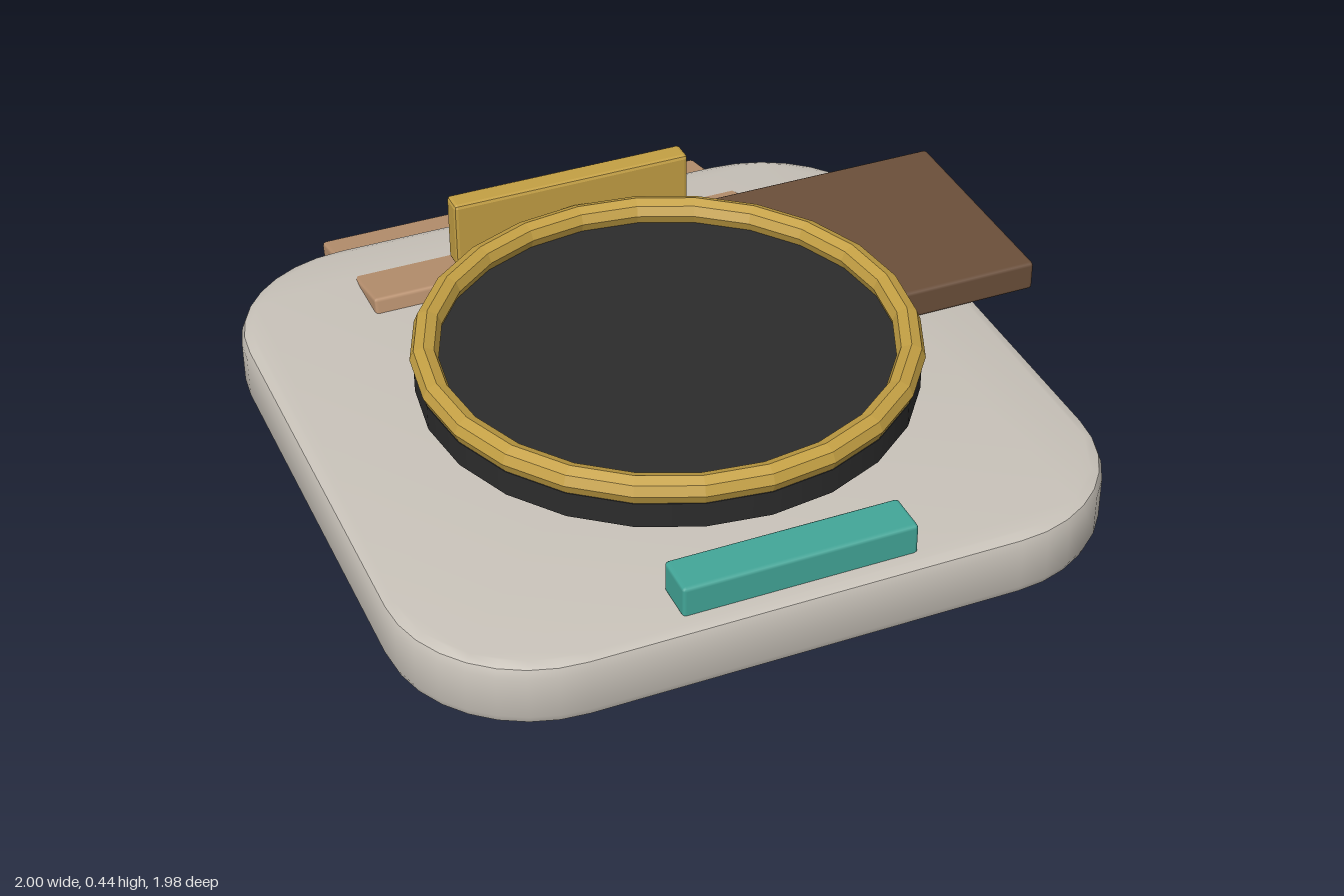
import * as THREE from 'three';
import { toCreasedNormals } from 'three/addons/utils/BufferGeometryUtils.js';
import { RoundedBoxGeometry } from 'three/addons/geometries/RoundedBoxGeometry.js';

function material(name, color, flatShading = false) {
  const m = new THREE.MeshStandardMaterial({ color, flatShading });
  m.name = name;
  return m;
}

export function createModel() {
  const group = new THREE.Group();
  const stone = material('warm grey', 0xc8c2b9);
  const black = material('charcoal', 0x2c2c2c);
  const gold = material('gold', 0xc4a044, true);
  const walnut = material('walnut', 0x6b4f3a);
  const tan = material('tan', 0xba9270);
  const teal = material('teal', 0x43a799);

  const add = (name, geometry, mat, x, y, z) => {
    const mesh = new THREE.Mesh(geometry, mat);
    mesh.name = name;
    mesh.position.set(x, y, z);
    group.add(mesh);
    return mesh;
  };
  // Box with slightly softened edges, given by its minimum and maximum corners
  const block = (name, mat, [x0, y0, z0], [x1, y1, z1]) =>
    add(name, new RoundedBoxGeometry(x1 - x0, y1 - y0, z1 - z0, 1, 0.01), mat,
      (x0 + x1) / 2, (y0 + y1) / 2, (z0 + z1) / 2);

  // Base slab: square with wide round corners and a small bevel
  const h = 0.92, r = 0.37, bevel = 0.03, height = 0.172;
  const outline = new THREE.Shape();
  [[1, 1], [-1, 1], [-1, -1], [1, -1]].forEach(([sx, sy], i) =>
    outline.absarc(sx * (h - r), sy * (h - r), r, i * Math.PI / 2, (i + 1) * Math.PI / 2));
  outline.closePath();
  const slab = new THREE.ExtrudeGeometry(outline, {
    depth: height - 2 * bevel, curveSegments: 4,
    bevelThickness: bevel, bevelSize: bevel, bevelOffset: -bevel, bevelSegments: 2,
  });
  slab.rotateX(-Math.PI / 2);
  add('base', toCreasedNormals(slab, 0.6), stone, -0.08, bevel, 0.073);

  // Turntable: hub, disc and rim
  const cx = -0.08, cz = 0.135;
  add('hub', new THREE.CylinderGeometry(0.225, 0.225, 0.1, 16), stone, cx, 0.212, cz);
  add('disc', new THREE.CylinderGeometry(0.632, 0.632, 0.068, 24), black, cx, 0.288, cz);
  const rim = new THREE.TorusGeometry(0.605, 0.036, 8, 24);
  rim.rotateX(Math.PI / 2);
  add('rim', rim, gold, cx, 0.348, cz);

  // Upright plate behind the disc
  block('backPlate', gold, [-0.41, 0.254, -0.568], [0.25, 0.444, -0.503]);

  // Side board overhanging the left edge
  block('sideBoard', walnut, [0.22, 0.172, -0.56], [1, 0.254, 0.068]);

  // Front bar
  block('frontBar', teal, [-0.38, 0.165, 0.82], [0.22, 0.252, 0.935]);

  // Ramp sloping down through the back of the base
  const ramp = block('ramp', tan, [-0.64, 0.0745, -0.99], [0.475, 0.1595, -0.494]);
  ramp.rotation.x = -0.22;

  return group;
}
